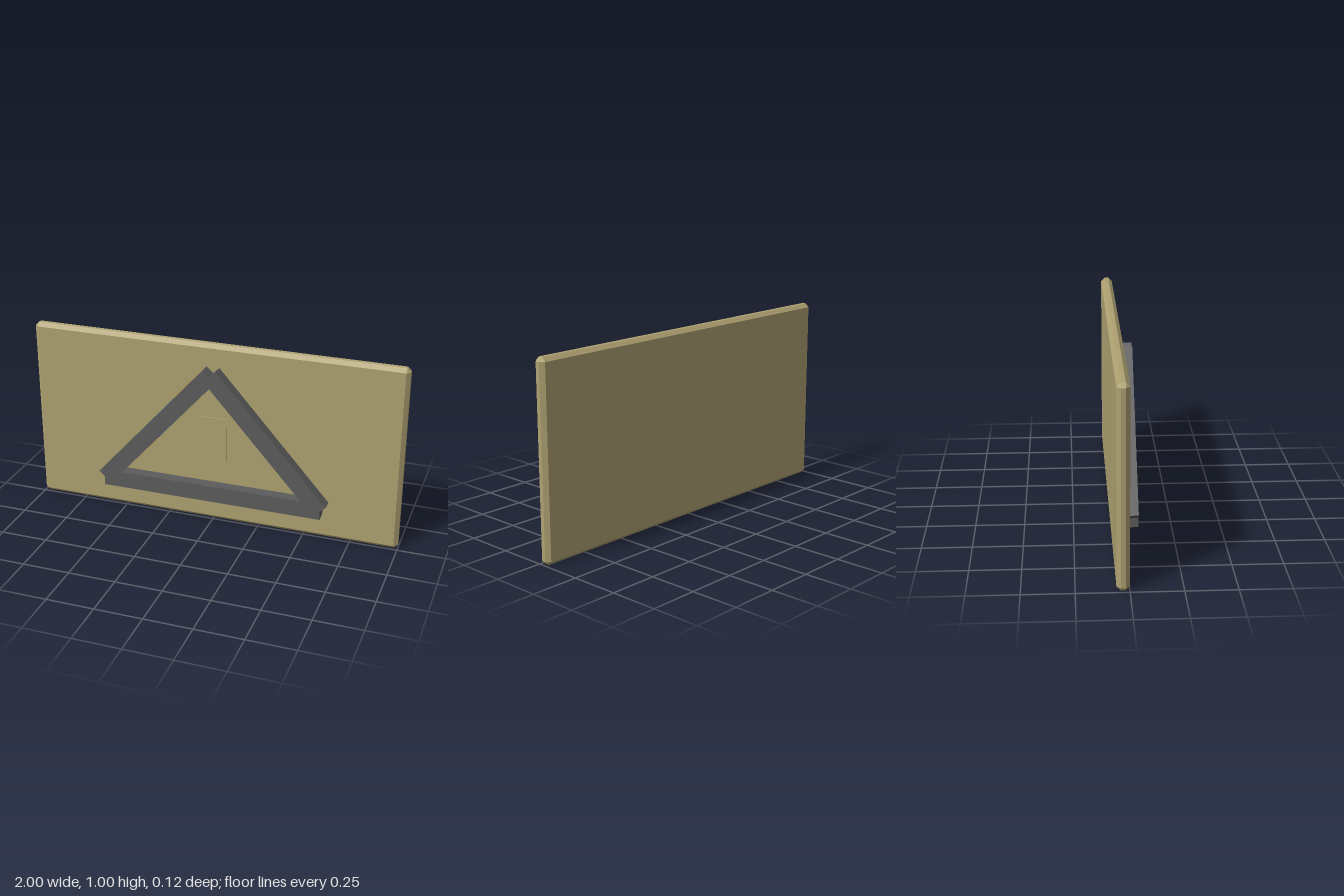
import * as THREE from 'three';
import { ConvexGeometry } from 'three/addons/geometries/ConvexGeometry.js';

// Box with every edge and corner cut flat by a bevel b
function chamferBox(w, h, d, b) {
  const half = [w / 2, h / 2, d / 2];
  const points = [];
  for (const sx of [-1, 1]) for (const sy of [-1, 1]) for (const sz of [-1, 1]) {
    for (let axis = 0; axis < 3; axis++) {
      const [x, y, z] = half.map((v, i) => (i === axis ? v : v - b));
      points.push(new THREE.Vector3(sx * x, sy * y, sz * z));
    }
  }
  return new ConvexGeometry(points);
}

export function createModel() {
  const tan = new THREE.MeshStandardMaterial({ color: 0xaea171 });
  tan.name = 'tan';
  const darkGrey = new THREE.MeshStandardMaterial({ color: 0x5c5c5c });
  darkGrey.name = 'dark grey';

  const group = new THREE.Group();
  const add = (name, geometry, material, x, y, z, angle = 0) => {
    const mesh = new THREE.Mesh(geometry, material);
    mesh.name = name;
    mesh.position.set(x, y, z);
    mesh.rotation.z = angle;
    group.add(mesh);
  };

  // Backing board
  const depth = 0.062;
  add('board', chamferBox(2, 1, depth, 0.02), tan, 0, 0.5, -depth / 2);

  // Small raised plate in the middle
  add('centrePlate', new THREE.BoxGeometry(0.155, 0.245, 0.006), tan, 0, 0.478, 0.003);

  // Triangle frame: one level bar and two mirrored sloping bars
  add('bottomBar', new THREE.BoxGeometry(1.2, 0.09, depth), darkGrey, 0, 0.182, depth / 2);
  const slope = THREE.MathUtils.degToRad(48.3);
  for (const side of [-1, 1]) {
    add(side < 0 ? 'rightSlopingBar' : 'leftSlopingBar',
      new THREE.BoxGeometry(0.895, 0.09, depth), darkGrey,
      side * 0.299, 0.516, depth / 2, -side * slope);
  }
  return group;
}
